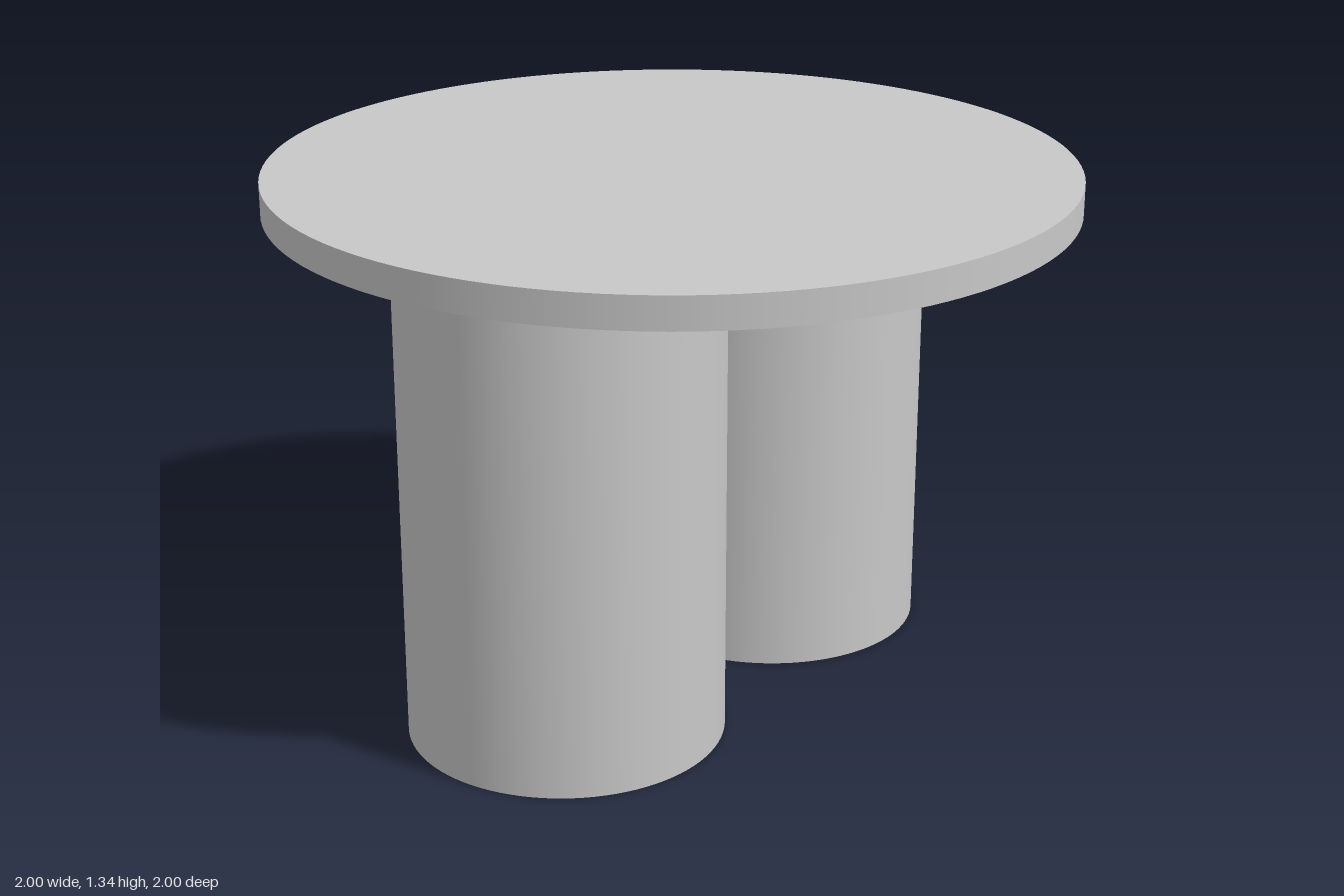
import * as THREE from 'three';

const LEG_HEIGHT = 1.255;
const TOP_THICKNESS = 0.08;

export function createModel() {
  const model = new THREE.Group();
  model.name = 'roundTable';

  const grey = new THREE.MeshStandardMaterial({ color: 0xc8c8c8 });
  grey.name = 'light grey';

  // Upright cylinder standing on a given height
  const addDrum = (name, radius, height, bottom, z, sides) => {
    const mesh = new THREE.Mesh(new THREE.CylinderGeometry(radius, radius, height, sides), grey);
    mesh.name = name;
    mesh.position.set(0, bottom + height / 2, z);
    model.add(mesh);
  };

  // Round tabletop
  addDrum('tabletop', 1, TOP_THICKNESS, LEG_HEIGHT, 0, 128);

  // Two thick drum legs, front and back
  addDrum('frontLeg', 0.395, LEG_HEIGHT, 0, 0.44, 96);
  addDrum('backLeg', 0.395, LEG_HEIGHT, 0, -0.44, 96);

  return model;
}
